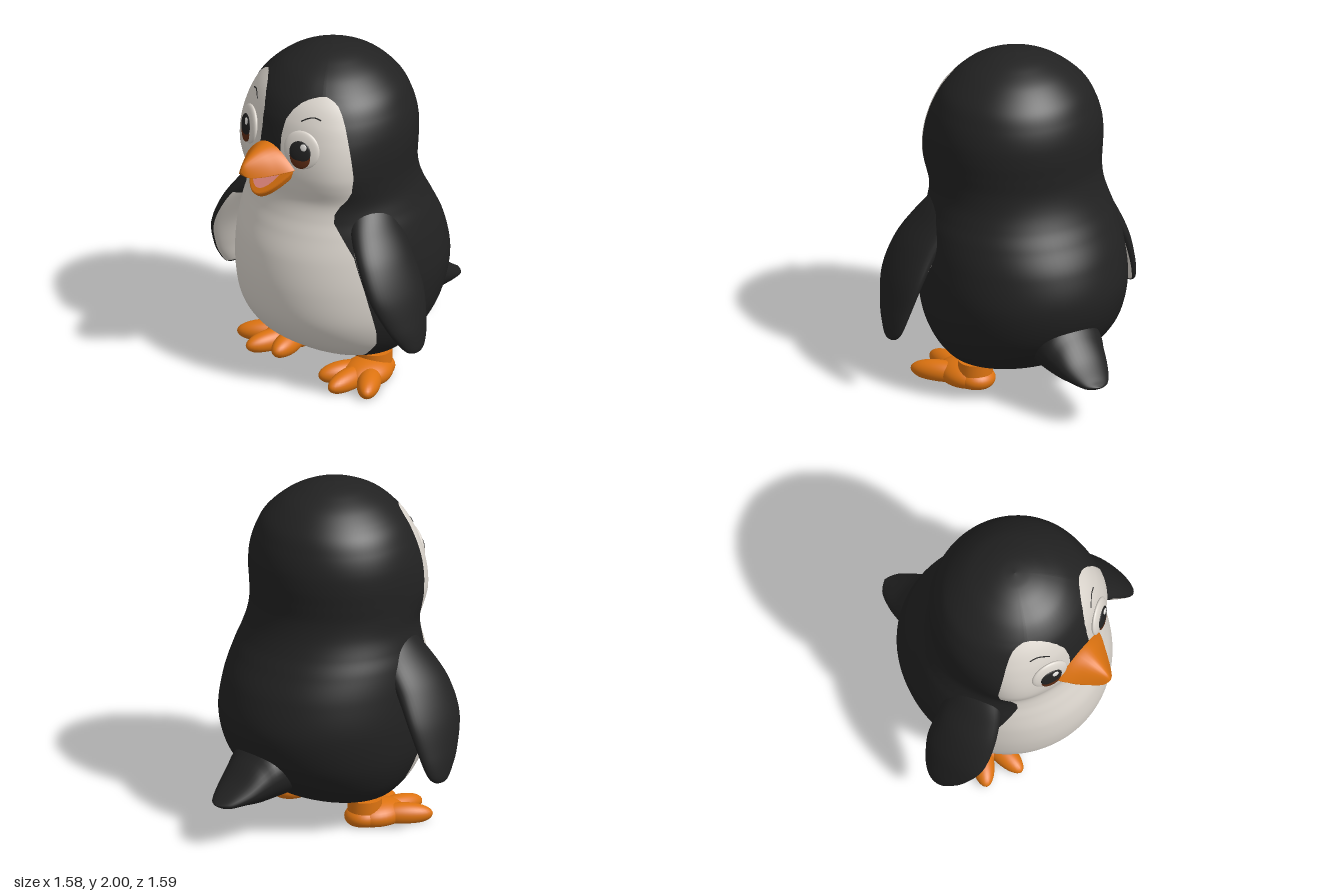
import * as THREE from 'three';

const mat = (name, color) => Object.assign(new THREE.MeshStandardMaterial({ color }), { name });

// Catmull-Rom resampling of a small table of rows
function smooth(tab, n) {
  const last = tab.length - 1, out = [];
  for (let i = 0; i <= n; i++) {
    const t = (i / n) * last, k = Math.min(Math.floor(t), last - 1), f = t - k;
    const [a, b, c, d] = [k - 1, k, k + 1, k + 2].map(j => tab[Math.max(0, Math.min(last, j))]);
    out.push(b.map((v, j) => v + 0.5 * f * (c[j] - a[j] +
      f * (2 * a[j] - 5 * v + 4 * c[j] - d[j] + f * (3 * (v - c[j]) + d[j] - a[j])))));
  }
  return out;
}

// Linear lookup in a table of [y, value], y rising
function lookup(tab, y) {
  if (y <= tab[0][0]) return tab[0][1];
  for (let i = 1; i < tab.length; i++) {
    const [y0, v0] = tab[i - 1], [y1, v1] = tab[i];
    if (y <= y1) return v0 + (v1 - v0) * (y - y0) / (y1 - y0);
  }
  return tab[tab.length - 1][1];
}

// Skin of closed rings; pick(row, column) gives the material index of a cell
function loft(name, rows, cols, point, materials, pick = () => 0) {
  const pos = [], lists = materials.map(() => []);
  for (let r = 0; r < rows.length; r++)
    for (let c = 0; c < cols; c++) pos.push(...point(rows[r], c));
  for (let r = 0; r < rows.length - 1; r++) {
    for (let c = 0; c < cols; c++) {
      const d = (c + 1) % cols, i = r * cols, j = i + cols;
      lists[pick(rows[r], c)].push(i + c, i + d, j + d, i + c, j + d, j + c);
    }
  }
  const geo = new THREE.BufferGeometry();
  geo.setAttribute('position', new THREE.Float32BufferAttribute(pos, 3));
  geo.setIndex(lists.flat());
  let start = 0;
  lists.forEach((l, m) => { geo.addGroup(start, l.length, m); start += l.length; });
  geo.computeVertexNormals();
  const mesh = new THREE.Mesh(geo, materials);
  mesh.name = name;
  return mesh;
}

export function createModel() {
  const black = mat('black plumage', 0x222222), white = mat('white plumage', 0xdcd6ce);
  const orange = mat('orange', 0xdd7310), pink = mat('pink tongue', 0xe68a80);
  const brown = mat('brown iris', 0x5e2c14), glint = mat('eye glint', 0xf4f2ee);
  const grey = mat('grey underside', 0x8a8681);

  const model = new THREE.Group();
  model.name = 'penguin';
  const bird = new THREE.Group();
  bird.name = 'turnedBird';
  bird.rotation.y = -0.26;
  bird.position.set(0.048, 0, 0.013);
  model.add(bird);

  const add = (parent, name, geo, m, p = [0, 0, 0], s = [1, 1, 1]) => {
    const mesh = new THREE.Mesh(geo, m);
    mesh.name = name;
    mesh.position.set(...p);
    mesh.scale.set(...s);
    parent.add(mesh);
    return mesh;
  };
  const ball = new THREE.SphereGeometry(1, 32, 20);

  // Body and head: y, half width, back z, front z
  const bodyRows = [
    [0.138, 0, 0.06, 0.06], [0.14, 0.26, -0.12, 0.23], [0.157, 0.36, -0.21, 0.31], [0.2, 0.44, -0.3, 0.4],
    [0.3, 0.515, -0.43, 0.53], [0.45, 0.57, -0.545, 0.625], [0.65, 0.592, -0.6, 0.66],
    [0.85, 0.58, -0.56, 0.65], [1.0, 0.555, -0.485, 0.61], [1.1, 0.525, -0.43, 0.58],
    [1.2, 0.5, -0.39, 0.565], [1.3, 0.497, -0.37, 0.58], [1.4, 0.503, -0.372, 0.588],
    [1.5, 0.505, -0.378, 0.585], [1.6, 0.495, -0.372, 0.573], [1.7, 0.465, -0.345, 0.55],
    [1.8, 0.41, -0.295, 0.5], [1.9, 0.3, -0.195, 0.405], [1.96, 0.19, -0.085, 0.295],
    [1.99, 0.095, 0.01, 0.2], [2.0, 0, 0.105, 0.105]];
  // Half angles of the dark forehead stripe and of the white front
  const inner = [[1.4, 0.2], [1.5, 0.17], [1.6, 0.165], [1.7, 0.2], [1.76, 0.275], [1.8, 0.37], [1.825, 0.48], [1.845, 0.68]];
  const outer = [[0.16, 1.0], [0.2, 1.12], [0.3, 1.25], [0.4, 1.22], [0.6, 1.12], [0.8, 1.04], [0.9, 1.0],
    [1.0, 0.9], [1.1, 0.8], [1.15, 0.81], [1.2, 0.88], [1.25, 0.98], [1.3, 1.04], [1.4, 1.06], [1.5, 1.03],
    [1.6, 1.0], [1.7, 0.98], [1.76, 0.95], [1.8, 0.91], [1.825, 0.85], [1.845, 0.73]];
  const skin = ([y, a, zb, zf], th) => {
    const off = Math.abs(Math.atan2(Math.sin(th), Math.cos(th)));
    const reach = y > 1.38 ? 0.3 : 0.16;
    const cheek = 1 + 0.085 * Math.exp(-(((off - 0.88) / 0.38) ** 2) - ((y - 1.38) / reach) ** 2);
    return [a * cheek * Math.sin(th), y, (zb + zf) / 2 + (zf - zb) / 2 * cheek * Math.cos(th)];
  };
  const NI = 12, NW = 22, NB = 60, cols = NI + 2 * NW + NB;
  const angle = (y, c) => {
    const i = lookup(inner, y), o = lookup(outer, y);
    if (c < NI) return -i + 2 * i * c / NI;
    if (c < NI + NW) return i + (o - i) * (c - NI) / NW;
    if (c < NI + NW + NB) return o + 2 * (Math.PI - o) * (c - NI - NW) / NB;
    return 2 * Math.PI - o + (o - i) * (c - NI - NW - NB) / NW;
  };
  const rows = smooth(bodyRows, 200);
  const onSkin = (th, y) => new THREE.Vector3(
    ...skin(rows.reduce((a, b) => Math.abs(b[0] - y) < Math.abs(a[0] - y) ? b : a), th));
  bird.add(loft('bodyAndHead', rows, cols, (r, c) => skin(r, angle(r[0], c)), [black, white, grey], ([y], c) => {
    const back = c >= NI + NW && c < NI + NW + NB;
    if (y < 0.15) return back ? 0 : 2;
    if (y < 0.18 || y > 1.84 || back) return 0;
    return c < NI && y > 1.4 ? 0 : 1;
  }));

  // Tail: z, centre y, half width, half height
  const tail = smooth([[-0.845, 0.268, 0, 0], [-0.825, 0.266, 0.045, 0.014], [-0.79, 0.272, 0.085, 0.032],
    [-0.7, 0.305, 0.135, 0.07], [-0.6, 0.35, 0.17, 0.13], [-0.5, 0.39, 0.2, 0.17], [-0.3, 0.39, 0.2, 0.17]], 36);
  bird.add(loft('tail', tail, 32, ([z, y, w, h], c) => {
    const p = c / 32 * 2 * Math.PI;
    return [w * Math.cos(p), y + h * Math.sin(p), z];
  }, [black]));

  // Upper beak: z, half width, edge y, ridge y
  const beak = smooth([[0.5, 0.2, 1.415, 1.51], [0.58, 0.185, 1.41, 1.53], [0.66, 0.135, 1.395, 1.518],
    [0.73, 0.085, 1.383, 1.49], [0.785, 0.037, 1.383, 1.452], [0.805, 0, 1.41, 1.41]], 30);
  bird.add(loft('upperBeak', beak, 40, ([z, w, y0, y1], c) => {
    const p = c / 40 * 2 * Math.PI, s = Math.sin(p);
    return [w * Math.cos(p), y0 + (s > 0 ? (y1 - y0) * s ** 2 : 0.02 * s * w / 0.2), z];
  }, [orange]));

  // Lower beak with the tongue lying in it
  const vee = (w, top, tip) => {
    const s = new THREE.Shape();
    s.moveTo(-w, top);
    s.bezierCurveTo(-w * 0.8, top - 0.08, -w * 0.4, tip, 0, tip);
    s.bezierCurveTo(w * 0.4, tip, w * 0.8, top - 0.08, w, top);
    return s;
  };
  const jaw = new THREE.Group();
  jaw.name = 'lowerBeak';
  jaw.position.set(0, 1.405, 0.565);
  jaw.rotation.x = -0.7;
  bird.add(jaw);
  add(jaw, 'jaw', new THREE.ExtrudeGeometry(vee(0.172, 0.01, -0.202), {
    depth: 0.02, bevelSize: 0.012, bevelThickness: 0.012, bevelSegments: 4, curveSegments: 20
  }), orange, [0, 0, -0.032]);
  add(jaw, 'tongue', new THREE.ShapeGeometry(vee(0.105, -0.045, -0.175), 20), pink, [0, 0, 0.004]);

  // Wing sections from tip to shoulder: y, x, z, half thickness, half depth
  const wing = smooth([[0.345, 0.785, 0.175, 0, 0], [0.36, 0.783, 0.175, 0.026, 0.05], [0.41, 0.772, 0.18, 0.04, 0.093],
    [0.52, 0.745, 0.2, 0.052, 0.145], [0.7, 0.685, 0.222, 0.068, 0.196], [0.88, 0.59, 0.225, 0.085, 0.196],
    [1.03, 0.485, 0.2, 0.092, 0.175], [1.15, 0.405, 0.165, 0.088, 0.14], [1.26, 0.33, 0.14, 0.06, 0.08]], 60);

  for (const side of [1, -1]) {
    const label = side > 0 ? 'left' : 'right';
    const half = new THREE.Group();
    half.name = label + 'Side';
    half.scale.x = side;
    bird.add(half);

    half.add(loft(label + 'Wing', wing, 40, ([y, x, z, w, d], c) => {
      const p = c / 40 * 2 * Math.PI;
      return [x + w * Math.sin(p), y, z + d * Math.cos(p)];
    }, [black, white], ([y], c) => (y > 0.365 && y < 0.95 && c >= 22 && c < 39 ? 1 : 0)));

    // Eye: shallow white, iris, pupil and glint
    const eye = new THREE.Group();
    eye.name = label + 'Eye';
    eye.position.copy(onSkin(0.455, 1.555));
    eye.rotation.set(-0.13, 0.4, 0, 'YXZ');
    half.add(eye);
    add(eye, 'eyeWhite', ball, white, [0, 0, 0], [0.113, 0.115, 0.026]);
    add(eye, 'iris', ball, brown, [0, -0.033, 0.016], [0.066, 0.076, 0.016]);
    add(eye, 'pupil', ball, black, [0, -0.007, 0.022], [0.067, 0.066, 0.014]);
    add(eye, 'glint', ball, glint, [side * 0.024, 0.027, 0.033], [0.02, 0.022, 0.005]);

    // Eyebrow following the skin
    const brow = [[0.42, 1.708], [0.5, 1.727], [0.59, 1.735], [0.68, 1.725]].map(p => onSkin(...p));
    add(half, label + 'Eyebrow', new THREE.TubeGeometry(new THREE.CatmullRomCurve3(brow), 20, 0.004, 6), black);
    add(half, label + 'Nostril', ball, brown, [0.05, 1.485, 0.66], [0.008, 0.008, 0.008]);

    // Foot: ankle, pad and three splayed toes, flat underneath
    const foot = new THREE.Group();
    foot.name = label + 'Foot';
    half.add(foot);
    add(foot, 'ankle', new THREE.CylinderGeometry(0.1, 0.1, 0.14, 28), orange, [0.3, 0.08, 0.05]);
    const lump = (name, x, z, w, h, len, turn) => {
      const g = ball.clone().scale(w, h, len).translate(0, 0.04, 0);
      const p = g.attributes.position;
      for (let i = 0; i < p.count; i++) p.setY(i, Math.max(0, p.getY(i)));
      g.computeVertexNormals();
      add(foot, name, g, orange, [x, 0, z]).rotation.y = turn;
    };
    lump('heel', 0.3, 0.045, 0.112, 0.07, 0.115, 0);
    lump('pad', 0.325, 0.13, 0.135, 0.085, 0.17, 0.15);
    [[0.19, 0.38], [0.36, 0.445], [0.555, 0.345]].forEach(([tx, tz], i) => {
      const dx = tx - 0.3, dz = tz - 0.06, len = Math.hypot(dx, dz);
      lump('toe' + (i + 1), 0.3 + dx * 0.54, 0.06 + dz * 0.54, 0.068, 0.066, len * 0.46, Math.atan2(dx, dz));
    });
  }
  return model;
}
